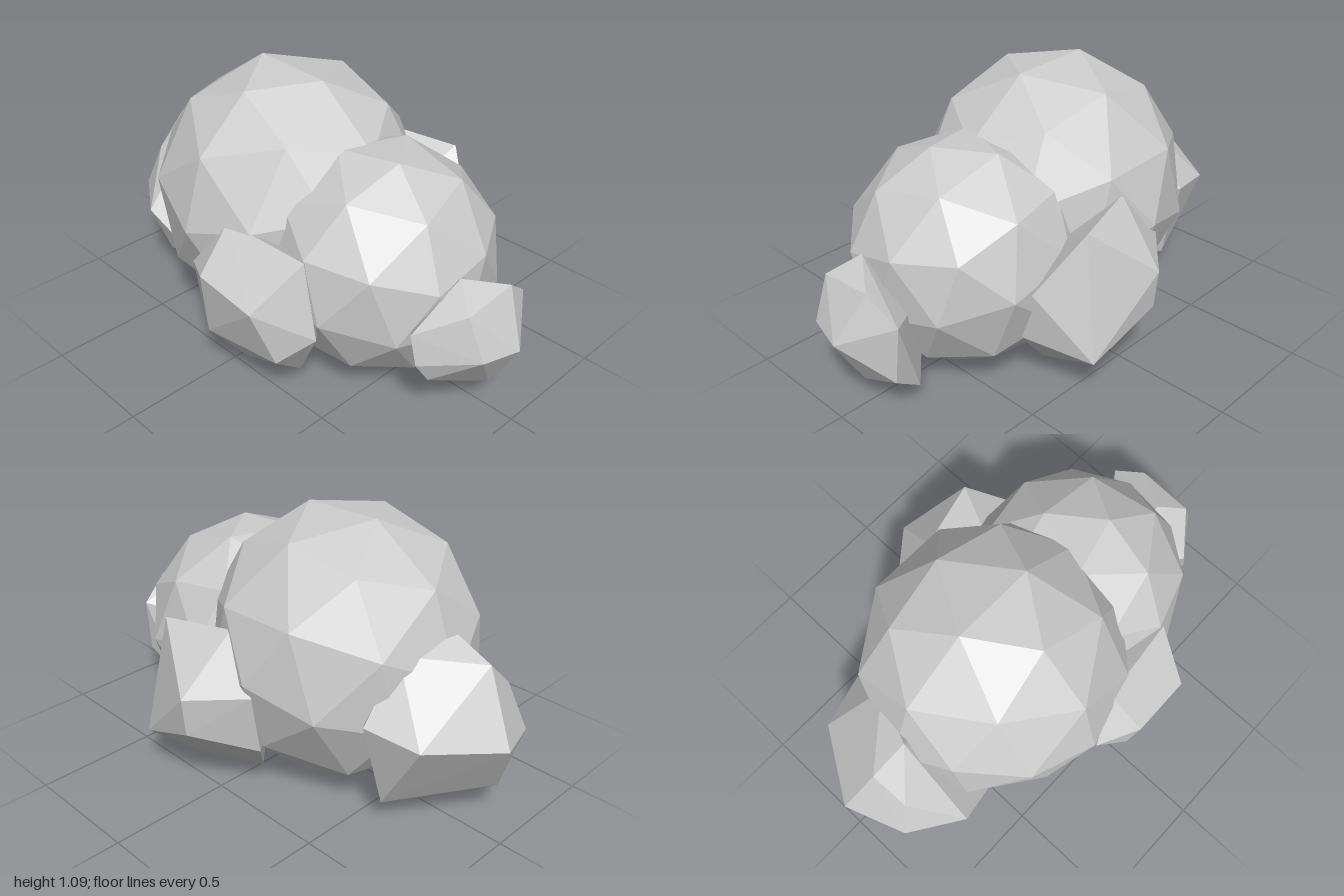
import * as THREE from 'three';
import { ConvexGeometry } from 'three/addons/geometries/ConvexGeometry.js';

const T = (1 + Math.sqrt(5)) / 2;
const V = (a) => new THREE.Vector3(...a);

// Rotation frame whose y axis is the pole and whose z axis leans toward side
function frame(pole, side) {
  const y = V(pole).normalize();
  const x = new THREE.Vector3().crossVectors(y, V(side)).normalize();
  const z = new THREE.Vector3().crossVectors(x, y);
  return new THREE.Matrix4().makeBasis(x, y, z);
}

// Large puffs: faceted balls with one corner along pole, its neighbour toward side
const balls = [
  { name: 'mainPuff', at: [-0.17, 0.552, 0.03], r: [0.56, 0.565, 0.545], pole: [0.02, 0.51, 0.25], side: [0, 0, 1] },
  { name: 'rightHandPuff', at: [0.33, 0.457, 0.02], r: [0.475, 0.468, 0.465], pole: [0.03, 0.17, 0.45], side: [0.1, -0.3, 0] },
];

// Small puffs: rough lumps given by their few outer corners, with a root inside the cloud
const lumps = {
  leftHandPuff: [
    [-1, 0.41, 0], [-0.85, 0.68, 0.06], [-0.69, 0.74, 0.07], [-0.6, 0.7, -0.15],
    [-0.82, 0.45, -0.28], [-0.6, 0.48, -0.33], [-0.84, 0.55, 0.2], [-0.91, 0.36, 0.24],
    [-0.7, 0.35, 0.38], [-0.9, 0.17, 0.1], [-0.66, 0.14, 0.31], [-0.69, 0.05, 0.02],
    [-0.62, 0.12, -0.24], [-0.47, 0.08, 0], [-0.5, 0.2, 0.33], [-0.35, 0.4, 0],
  ],
  endPuff: [
    [1, 0.33, 0], [0.96, 0.34, 0.16], [0.89, 0.51, 0.17], [0.78, 0.58, 0.09],
    [0.89, 0.53, -0.07], [0.86, 0.43, -0.2], [0.87, 0.19, -0.18], [0.88, 0.12, 0],
    [0.74, 0.08, 0.08], [0.74, 0.09, -0.15], [0.79, 0.22, 0.25], [0.77, 0.3, 0.3],
    [0.74, 0.42, 0.3], [0.66, 0.1, 0.02], [0.55, 0.33, 0.04],
  ],
  frontPuff: [
    [0, 0.65, 0.5], [0.02, 0.49, 0.66], [0.29, 0.45, 0.655], [0.37, 0.62, 0.46],
    [0.44, 0.32, 0.47], [0.34, 0.22, 0.58], [0.01, 0.22, 0.63], [-0.14, 0.44, 0.57],
    [-0.15, 0.21, 0.5], [0.12, 0.11, 0.54], [0.3, 0.08, 0.42], [0.11, 0.045, 0.34],
    [-0.02, 0.06, 0.4], [0.12, 0.07, 0.22], [0.1, 0.4, 0.1],
  ],
  backPuff: [
    [0, 0.48, -0.67], [0, 0.32, -0.655], [0.3, 0.19, -0.62], [0.42, 0.46, -0.42],
    [0.25, 0.69, -0.53], [-0.04, 0.71, -0.45], [-0.2, 0.5, -0.5], [-0.2, 0.25, -0.46],
    [0.12, 0.08, -0.45], [0.08, 0.05, -0.32], [-0.1, 0.09, -0.36], [0.3, 0.1, -0.36],
    [0.42, 0.25, -0.36], [0.1, 0.09, -0.22], [0.1, 0.4, -0.1],
  ],
};

export function createModel() {
  const cloud = new THREE.Group();
  cloud.name = 'cloud';
  const material = new THREE.MeshStandardMaterial({ color: 0xcccccc, flatShading: true });
  const add = (name, geometry) => {
    const mesh = new THREE.Mesh(geometry, material);
    mesh.name = name;
    cloud.add(mesh);
    return mesh;
  };

  for (const b of balls) {
    const geometry = new THREE.IcosahedronGeometry(1, 1);
    const upright = frame([1, T, 0], [0, 1, T]).transpose();
    geometry.applyMatrix4(frame(b.pole, b.side).multiply(upright));
    geometry.scale(...b.r);
    geometry.computeVertexNormals();
    add(b.name, geometry).position.set(...b.at);
  }
  for (const [name, corners] of Object.entries(lumps)) {
    add(name, new ConvexGeometry(corners.map(V)));
  }

  // Rest the lowest corner on the ground
  const lowest = new THREE.Box3().setFromObject(cloud, true).min.y;
  cloud.children.forEach((m) => { m.position.y -= lowest; });
  return cloud;
}
